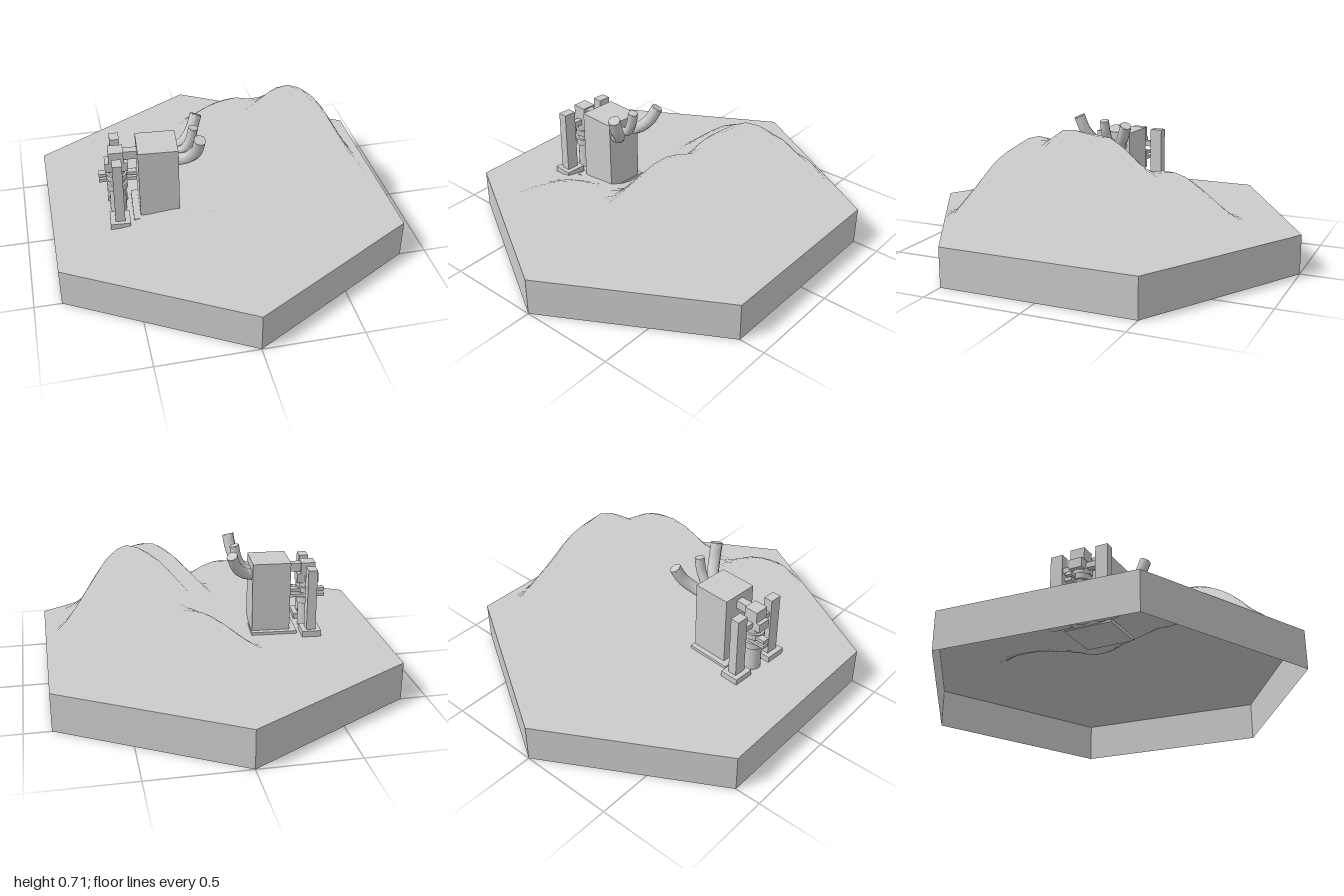
import * as THREE from 'three';

const material = new THREE.MeshStandardMaterial({ color: 0xcccccc, flatShading: true });
const smooth = new THREE.MeshStandardMaterial({ color: 0xcccccc });
const sheet = new THREE.MeshStandardMaterial({ color: 0xcccccc, side: THREE.DoubleSide });
const wall = new THREE.MeshStandardMaterial({ color: 0xcccccc, side: THREE.DoubleSide, flatShading: true });

const GROUND = 0.2;
const FOOT = 0.196; // machine parts sink a little through the ground

function add(parent, name, geometry, mat = material, x = 0, y = 0, z = 0) {
  const mesh = new THREE.Mesh(geometry, mat);
  mesh.name = name;
  mesh.position.set(x, y, z);
  parent.add(mesh);
  return mesh;
}

// Box and cylinder placed by their bottom and top heights
const block = (parent, name, w, d, y0, y1, x, z) =>
  add(parent, name, new THREE.BoxGeometry(w, y1 - y0, d), material, x, (y0 + y1) / 2, z);
const drum = (parent, name, r, y0, y1, x, z) =>
  add(parent, name, new THREE.CylinderGeometry(r, r, y1 - y0, 16), smooth, x, (y0 + y1) / 2, z);

// Hills: centre, height, and reach towards -x, +x, -z, +z
const hills = [
  { x: 0.43, z: -0.01, h: 0.515, reach: [0.58, 0.47, 0.86, 0.6] }, // main peak
  { x: 0.33, z: 0.27, h: 0.435, reach: [0.59, 0.52, 0.5, 0.56] }, // front shoulder
  { x: 0.18, z: -0.36, h: 0.29, reach: [0.5, 0.45, 0.48, 0.45] }, // back spur
  { x: -0.17, z: 0.56, h: 0.2, reach: [0.55, 0.45, 0.53, 0.42] }, // foothill
];

function hillHeight(x, z, edge) {
  let sum = 0;
  for (const k of hills) {
    const dx = x - k.x, dz = z - k.z;
    const r = Math.hypot(dx / k.reach[dx < 0 ? 0 : 1], dz / k.reach[dz < 0 ? 2 : 3]);
    if (r < 1) sum += Math.pow(k.h * 0.5 * (1 + Math.cos(Math.PI * r)), 6);
  }
  const h = Math.pow(sum, 1 / 6);
  const gullies = 1 + 0.025 * Math.sin(23 * z + 7 * x) * Math.sin(11 * x - 5 * z);
  return h * gullies * THREE.MathUtils.smoothstep(edge, -0.03, 0.1);
}

// Triangular lattice filling the hexagon, lifted by the hills
function terrainGeometry(n) {
  const positions = [], normals = [], index = [], ids = new Map();
  const inside = (q, r) => Math.max(Math.abs(q), Math.abs(r), Math.abs(q + r)) <= n;
  const key = (q, r) => q * 1000 + r;
  for (let q = -n; q <= n; q++) {
    for (let r = -n; r <= n; r++) {
      if (!inside(q, r)) continue;
      const ring = Math.max(Math.abs(q), Math.abs(r), Math.abs(q + r));
      const x = (r * Math.sqrt(3)) / 2 / n, z = (q + r / 2) / n;
      const lift = ring === n ? 0 : hillHeight(x, z, (1 - ring / n) * 0.866);
      ids.set(key(q, r), positions.length / 3);
      positions.push(x, GROUND + lift, z);
      normals.push(0, 1, 0); // soft, even shading over the whole land
    }
  }
  const id = (q, r) => ids.get(key(q, r));
  for (let q = -n; q <= n; q++) {
    for (let r = -n; r <= n; r++) {
      if (!inside(q + 1, r) || !inside(q, r + 1)) continue;
      if (inside(q, r)) index.push(id(q, r), id(q + 1, r), id(q, r + 1));
      if (inside(q + 1, r + 1)) index.push(id(q + 1, r), id(q + 1, r + 1), id(q, r + 1));
    }
  }
  const geometry = new THREE.BufferGeometry();
  geometry.setAttribute('position', new THREE.Float32BufferAttribute(positions, 3));
  geometry.setAttribute('normal', new THREE.Float32BufferAttribute(normals, 3));
  geometry.setIndex(index);
  return geometry;
}

// Curved chimney with a flat cap on its free end
function pipe(parent, name, radius, points) {
  const curve = new THREE.CatmullRomCurve3(points.map((p) => new THREE.Vector3(...p)));
  const group = new THREE.Group();
  group.name = name;
  add(group, 'pipeBody', new THREE.TubeGeometry(curve, 8, radius, 8), smooth);
  const end = curve.getPoint(1), dir = curve.getTangent(1);
  const cap = add(group, 'pipeCap', new THREE.CylinderGeometry(radius, radius, 0.008, 8), material, end.x, end.y, end.z);
  cap.quaternion.setFromUnitVectors(new THREE.Vector3(0, 1, 0), dir);
  parent.add(group);
}

function createMachine() {
  const machine = new THREE.Group();
  machine.name = 'machine';

  const body = new THREE.Group();
  body.name = 'machineBody';
  body.position.set(-0.315, 0, 0.08);
  body.rotation.y = -0.07;
  machine.add(body);

  // Boiler house on its footing
  block(body, 'boilerHouse', 0.2, 0.195, FOOT, 0.585, 0, 0);
  block(body, 'footing', 0.24, 0.25, FOOT, 0.215, -0.015, 0);

  // Press tower: two posts on pads with a piston stack between them
  const tx = -0.205;
  for (const side of [-1, 1]) {
    const z = side * 0.122;
    block(body, 'pad', 0.1, 0.11, FOOT, 0.232, tx, z);
    block(body, 'post', 0.048, 0.065, 0.23, 0.56, tx, z);
    block(body, 'postStrut', 0.03, 0.08, 0.46, 0.49, tx, side * 0.07);
  }
  drum(body, 'pistonBase', 0.042, FOOT, 0.36, tx, 0);
  drum(body, 'lowerCollar', 0.052, 0.335, 0.37, tx, 0);
  drum(body, 'pistonRod', 0.04, 0.36, 0.46, tx, 0);
  drum(body, 'upperCollar', 0.052, 0.395, 0.425, tx, 0);
  block(body, 'pistonHead', 0.115, 0.07, 0.45, 0.5, tx, 0);
  block(body, 'towerTop', 0.075, 0.075, 0.5, 0.562, tx, 0);
  block(body, 'topLink', 0.1, 0.042, 0.51, 0.555, -0.13, 0);
  for (const y of [0.37, 0.4]) block(body, 'feedBar', 0.19, 0.035, y, y + 0.018, -0.2, -0.018);

  // Chimneys fanning out of the boiler house
  pipe(machine, 'frontPipe', 0.031, [[-0.23, 0.51, 0.14], [-0.175, 0.53, 0.165], [-0.14, 0.595, 0.215], [-0.128, 0.672, 0.245]]);
  pipe(machine, 'middlePipe', 0.025, [[-0.23, 0.515, 0.09], [-0.18, 0.535, 0.095], [-0.147, 0.59, 0.1], [-0.133, 0.655, 0.103]]);
  pipe(machine, 'backPipe', 0.03, [[-0.23, 0.51, 0.04], [-0.17, 0.53, 0.025], [-0.12, 0.58, -0.01], [-0.093, 0.645, -0.036]]);
  return machine;
}

export function createModel() {
  const model = new THREE.Group();
  model.name = 'hillTile';
  // Hollow hexagonal rim, open underneath
  add(model, 'tileRim', new THREE.CylinderGeometry(1, 1, GROUND, 6, 1, true), wall, 0, GROUND / 2, 0);
  add(model, 'terrain', terrainGeometry(16), sheet);
  model.add(createMachine());
  return model;
}
